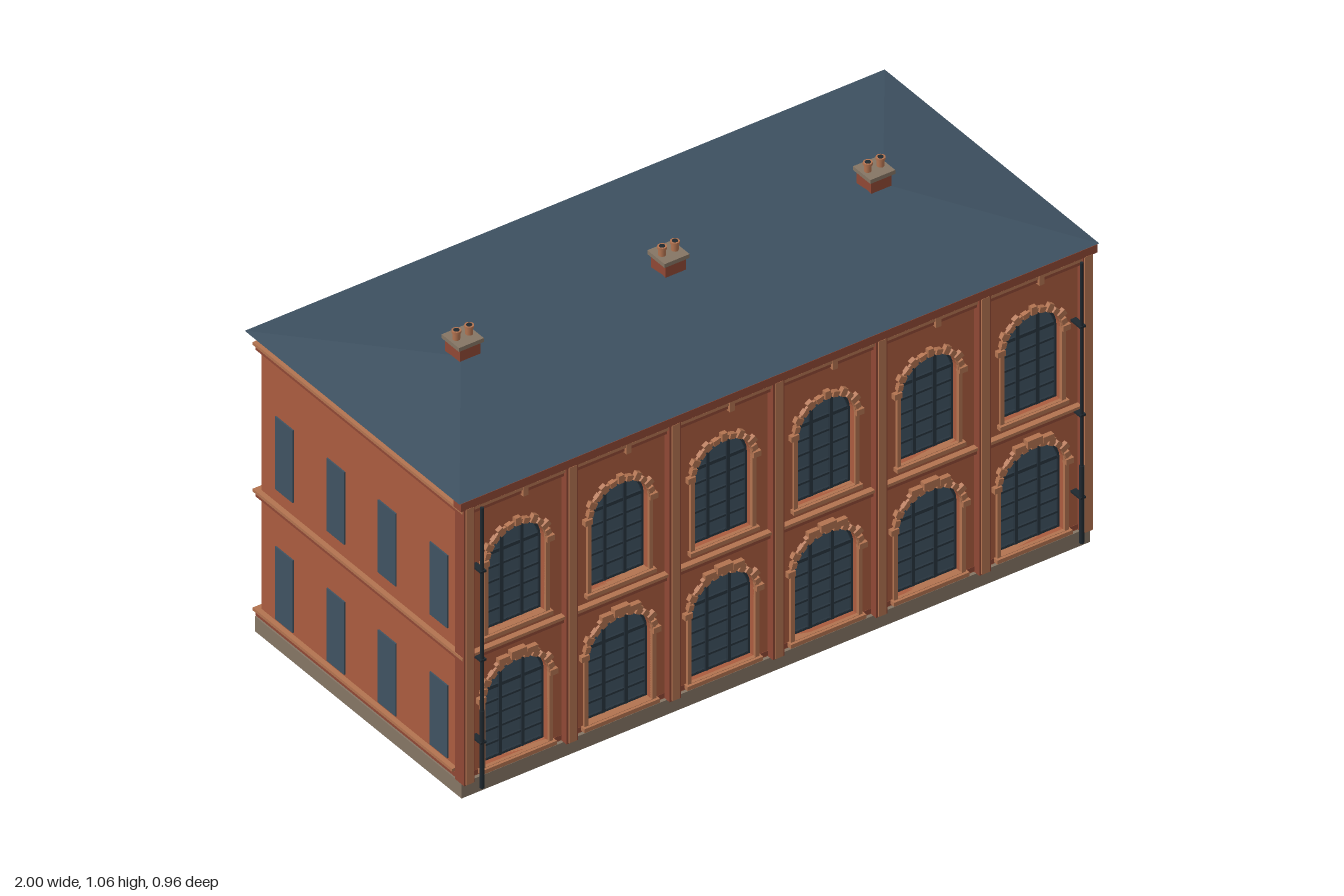
import * as THREE from 'three';

const paint = (name, color) => {
  const m = new THREE.MeshStandardMaterial({ color });
  m.name = name;
  return m;
};

export function createModel() {
  const root = new THREE.Group();
  root.name = 'brickBuilding';
  const brick = paint('brick', 0xaa5c3f);
  const redBrick = paint('redBrick', 0x8f4835);
  const trim = paint('terracottaTrim', 0xb27350);
  const stone = paint('stone', 0x857564);
  const slate = paint('slate', 0x3d5060);
  const glass = paint('glass', 0x3f5261);
  const frame = paint('windowFrame', 0x27343e);
  const iron = paint('iron', 0x1f282f);
  slate.side = THREE.DoubleSide;

  const add = (name, geo, mat, parent = root) => {
    const m = new THREE.Mesh(geo, mat);
    m.name = name;
    parent.add(m);
    return m;
  };
  // Box given by its extents on each axis
  const box = (name, mat, x0, x1, y0, y1, z0, z1, parent) => {
    const m = add(name, new THREE.BoxGeometry(x1 - x0, y1 - y0, z1 - z0), mat, parent);
    m.position.set((x0 + x1) / 2, (y0 + y1) / 2, (z0 + z1) / 2);
    return m;
  };

  const bays = [-2.5, -1.5, -0.5, 0.5, 1.5, 2.5].map(i => i * 0.3225);
  const storeys = [
    { sill: 0.065, spring: 0.28, hw: 0.1, rise: 0.085, hood: true },
    { sill: 0.475, spring: 0.70, hw: 0.09, rise: 0.082, hood: false },
  ];
  // Arched opening outline, optionally grown outwards
  const arch = (path, cx, s, grow = 0) => {
    const w = s.hw + grow, n = 16;
    path.moveTo(cx - w, s.sill);
    path.lineTo(cx + w, s.sill);
    for (let i = 0; i <= n; i++) {
      const a = Math.PI * i / n;
      path.lineTo(cx + w * Math.cos(a), s.spring + (s.rise + grow) * Math.sin(a));
    }
    path.closePath();
    return path;
  };
  const extrude = (shape, depth) => new THREE.ExtrudeGeometry(shape, { depth, bevelEnabled: false });

  // Main block, plinth and pierced front wall
  box('mainWalls', brick, -0.97, 0.97, 0, 0.932, -0.45, 0.41);
  box('plinth', stone, -0.982, 0.982, 0.001, 0.047, -0.463, 0.447);
  const wall = new THREE.Shape();
  wall.moveTo(-0.97, 0.04);
  wall.lineTo(0.97, 0.04);
  wall.lineTo(0.97, 0.932);
  wall.lineTo(-0.97, 0.932);
  wall.closePath();
  for (const x of bays) for (const s of storeys) wall.holes.push(arch(new THREE.Path(), x, s));
  add('frontWall', extrude(wall, 0.027), brick).position.z = 0.41;

  // String courses; the lowest stops clear of the front windows
  for (const y of [0.05, 0.42, 0.877]) {
    const front = y < 0.1 ? 0.438 : 0.449;
    box('courseLower', redBrick, -0.98, 0.98, y, y + 0.014, -0.462, front);
    box('courseUpper', trim, -0.985, 0.985, y + 0.014, y + 0.023, -0.468, y < 0.1 ? 0.41 : 0.455);
  }

  // Front pilasters with a pale central strip
  for (let i = -3; i <= 3; i++) {
    const end = Math.abs(i) === 3;
    const x = end ? Math.sign(i) * 0.967 : i * 0.3225;
    const w = end ? 0.016 : 0.018;
    box('pilaster', redBrick, x - w, x + w, 0.047, 0.91, 0.42, 0.46);
    box('pilasterStrip', trim, x - 0.012, x + 0.012, 0.05, 0.908, 0.459, 0.464);
  }
  box('frontCornice', redBrick, -0.995, 0.995, 0.907, 0.932, 0.43, 0.463);

  // Front windows
  for (const x of bays) for (const s of storeys) {
    const g = new THREE.Group();
    g.name = 'archedWindow';
    g.position.x = x;
    root.add(g);
    add('glazing', new THREE.ShapeGeometry(arch(new THREE.Shape(), 0, s)), glass, g).position.z = 0.413;

    // Glazing bars
    for (const vx of [-0.35, 0.35]) {
      const cx = vx * s.hw;
      const top = s.spring + s.rise * Math.sqrt(1 - vx * vx);
      box('verticalBar', frame, cx - 0.005, cx + 0.005, s.sill, top, 0.412, 0.421, g);
    }
    for (let r = 0; r <= 5; r++) {
      const y = s.sill + 0.004 + (s.spring - s.sill) * r / 5;
      const t = r === 5 ? 0.005 : 0.003;
      box('horizontalBar', frame, -s.hw, s.hw, y - t, y + t, 0.412, 0.419, g);
    }
    const rim = arch(new THREE.Shape(), 0, s);
    rim.holes.push(arch(new THREE.Path(), 0, { ...s, sill: s.sill + 0.006 }, -0.006));
    add('sashFrame', extrude(rim, 0.008), frame, g).position.z = 0.412;

    // Moulded surround with alternating arch blocks
    const band = arch(new THREE.Shape(), 0, s, 0.012);
    band.holes.push(arch(new THREE.Path(), 0, { ...s, sill: s.sill + 0.001 }));
    add('surround', extrude(band, 0.01), trim, g).position.z = 0.435;
    for (let i = 0; i <= 12; i++) {
      const a = Math.PI * i / 12;
      const h = i % 2 ? 0.016 : 0.024;
      const b = add('archBlock', new THREE.BoxGeometry(h, 0.017, 0.018), trim, g);
      b.position.set((s.hw + h / 2) * Math.cos(a), s.spring + (s.rise + h / 2) * Math.sin(a), 0.442);
      b.rotation.z = a;
    }
    box('sill', trim, -s.hw - 0.018, s.hw + 0.018, s.sill - 0.012, s.sill, 0.42, 0.453, g);
    // Stepped hood over the lower arches
    if (s.hood) {
      box('hoodCentre', trim, -0.024, 0.024, 0.375, 0.398, 0.43, 0.455, g);
      for (const k of [-1, 1]) {
        const c = k * 0.044;
        box('hoodSide', trim, c - 0.017, c + 0.017, 0.37, 0.388, 0.43, 0.452, g);
      }
    } else {
      box('friezeBlock', trim, 0.01, 0.026, 0.872, 0.904, 0.43, 0.458, g);
    }
  }

  // Flat side windows
  for (const side of [-1, 1]) for (const z of [0.333, 0.106, -0.12, -0.347])
    for (const y of [0.08, 0.485]) {
      const x = side * 0.971;
      box('sideWindow', glass, x - 0.003, x + 0.003, y, y + 0.226, z - 0.039, z + 0.039);
    }

  // Hipped roof
  const p = [
    -1, 0.933, 0.463, 1, 0.933, 0.463, 1, 0.933, -0.482, -1, 0.933, -0.482,
    -0.66, 0.986, -0.01, 0.66, 0.986, -0.01,
  ];
  const faces = [0, 1, 5, 0, 5, 4, 1, 2, 5, 2, 3, 4, 2, 4, 5, 3, 0, 4, 0, 3, 2, 0, 2, 1];
  let roof = new THREE.BufferGeometry();
  roof.setAttribute('position', new THREE.Float32BufferAttribute(p, 3));
  roof.setIndex(faces);
  roof = roof.toNonIndexed();
  roof.computeVertexNormals();
  add('roof', roof, slate);

  // Chimneys
  for (const x of [-0.643, 0, 0.643]) {
    const g = new THREE.Group();
    g.name = 'chimney';
    g.position.set(x, 0, -0.025);
    root.add(g);
    box('stack', redBrick, -0.032, 0.032, 0.95, 1.021, -0.032, 0.032, g);
    box('cap', stone, -0.039, 0.039, 1.021, 1.033, -0.038, 0.038, g);
    for (const k of [-0.02, 0.02]) {
      add('pot', new THREE.CylinderGeometry(0.010, 0.010, 0.026, 12), trim, g).position.set(k, 1.045, 0);
      add('potRim', new THREE.CylinderGeometry(0.013, 0.013, 0.007, 12), trim, g).position.set(k, 1.057, 0);
      add('potMouth', new THREE.CylinderGeometry(0.008, 0.008, 0.001, 12), iron, g).position.set(k, 1.061, 0);
    }
  }

  // Downpipes with brackets
  for (const x of [-0.937, 0.937]) {
    add('downpipe', new THREE.CylinderGeometry(0.005, 0.005, 0.872, 10), iron).position.set(x, 0.469, 0.474);
    add('pipeFoot', new THREE.CylinderGeometry(0.007, 0.007, 0.24, 10), iron).position.set(x, 0.153, 0.474);
    for (const y of [0.175, 0.432, 0.708])
      box('pipeBracket', iron, x - 0.009, x + 0.009, y - 0.003, y + 0.003, 0.435, 0.481);
  }
  return root;
}
